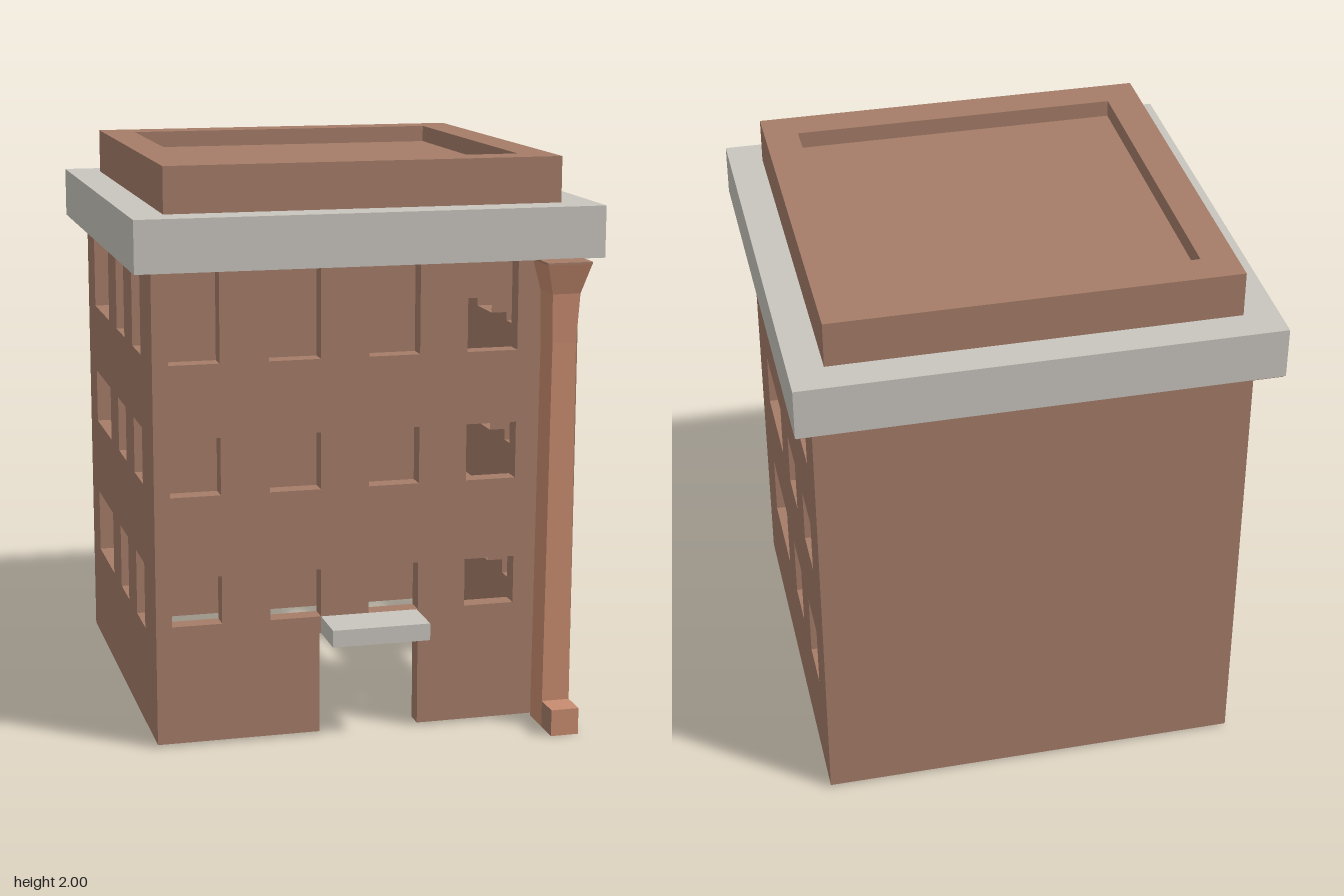
import * as THREE from 'three';
import { mergeGeometries } from 'three/addons/utils/BufferGeometryUtils.js';

const mat = (name, color, side = THREE.FrontSide) => {
  const m = new THREE.MeshStandardMaterial({ color, side });
  m.name = name;
  return m;
};

export function createModel() {
  const brick = mat('brown brick', 0xa57d69);
  const sheet = mat('brown brick wall', 0xa57d69, THREE.DoubleSide);
  const stone = mat('pale grey stone', 0xc9c5be);
  const clay = mat('light terracotta', 0xc88c70, THREE.DoubleSide);
  const model = new THREE.Group();
  model.name = 'building';

  const add = (name, geometry, material, parent = model) => {
    const mesh = new THREE.Mesh(geometry, material);
    mesh.name = name;
    parent.add(mesh);
    return mesh;
  };
  const box = (name, x0, x1, y0, y1, z0, z1, material) => {
    const mesh = add(name, new THREE.BoxGeometry(x1 - x0, y1 - y0, z1 - z0), material);
    mesh.position.set((x0 + x1) / 2, (y0 + y1) / 2, (z0 + z1) / 2);
    return mesh;
  };
  const rect = (Type, x0, x1, y0, y1) => new Type([
    [x0, y0], [x1, y0], [x1, y1], [x0, y1]].map(p => new THREE.Vector2(...p)));

  // Inward reveal around an opening
  const DEPTH = 0.065;
  const reveal = ([u0, u1, v0, v1], sill = true) => {
    const w = u1 - u0, h = v1 - v0, cu = (u0 + u1) / 2, cv = (v0 + v1) / 2, z = -DEPTH / 2;
    const parts = [
      new THREE.PlaneGeometry(DEPTH, h).rotateY(Math.PI / 2).translate(u0, cv, z),
      new THREE.PlaneGeometry(DEPTH, h).rotateY(-Math.PI / 2).translate(u1, cv, z),
      new THREE.PlaneGeometry(w, DEPTH).rotateX(Math.PI / 2).translate(cu, v1, z),
    ];
    if (sill) parts.push(new THREE.PlaneGeometry(w, DEPTH).rotateX(-Math.PI / 2).translate(cu, v0, z));
    return mergeGeometries(parts);
  };

  // Wall sheet in its own plane, facing local +z
  const BASE = 0.01, TOP = 1.665;
  const wall = (name, u0, u1, columns, rows, door) => {
    const group = new THREE.Group();
    group.name = name;
    const outline = [[u0, BASE]];
    if (door) outline.push([door[0], BASE], [door[0], door[3]], [door[1], door[3]], [door[1], BASE]);
    outline.push([u1, BASE], [u1, TOP], [u0, TOP]);
    const shape = new THREE.Shape(outline.map(p => new THREE.Vector2(...p)));
    const reveals = door ? [reveal(door, false)] : [];
    for (const [a, b] of columns) for (const [c, d] of rows) {
      shape.holes.push(rect(THREE.Path, a, b, c, d));
      reveals.push(reveal([a, b, c, d]));
    }
    add(name + 'Face', new THREE.ShapeGeometry(shape), sheet, group);
    if (reveals.length) add(name + 'Reveals', mergeGeometries(reveals), sheet, group);
    model.add(group);
    return group;
  };

  const upperRows = [[0.885, 1.085], [1.34, 1.66]];
  const sideRows = [[0.365, 0.6], ...upperRows];
  wall('frontWall', -0.755, 0.745,
    [[-0.7, -0.525], [-0.355, -0.175], [-0.005, 0.175], [0.345, 0.525]],
    [[0.43, 0.6], ...upperRows], [-0.18, 0.175, BASE, 0.37]).position.z = 0.68;

  // Side walls are the same, turned half a circle
  const right = wall('rightWall', -0.68, 0.77, [[-0.455, -0.105], [0.07, 0.245], [0.42, 0.6]], sideRows);
  right.rotation.y = Math.PI / 2;
  right.position.x = 0.745;
  const left = wall('leftWall', -0.77, 0.68, [[-0.6, -0.25], [-0.07, 0.105], [0.28, 0.455]], sideRows);
  left.rotation.y = -Math.PI / 2;
  left.position.x = -0.755;
  const back = wall('backWall', -0.745, 0.755, [], []);
  back.rotation.y = Math.PI;
  back.position.z = -0.77;

  // Square rings at the top, with a shared central opening
  const ring = (name, x0, x1, z0, z1, y0, y1, material) => {
    const shape = rect(THREE.Shape, x0, x1, -z1, -z0);
    shape.holes.push(rect(THREE.Path, -0.58, 0.575, -0.5, 0.655));
    const geometry = new THREE.ExtrudeGeometry(shape, { depth: y1 - y0, bevelEnabled: false });
    add(name, geometry.rotateX(-Math.PI / 2).translate(0, y0, 0), material);
  };
  ring('cornice', -0.82, 0.815, -0.895, 0.745, 1.66, 1.84, stone);
  ring('parapet', -0.7, 0.695, -0.775, 0.625, 1.84, 2, brick);
  box('roofDeck', -0.58, 0.575, 1.92, 1.94, -0.655, 0.5, brick);
  box('rearSoffit', -0.815, 0.81, 1.655, 1.66, -0.89, -0.77, brick);

  // Canopy over the doorway
  box('doorCanopy', -0.175, 0.17, 0.37, 0.43, 0.68, 0.85, stone);

  // Flared downpipe lofted through rectangles: height, left, right, front
  const sections = [
    [0, 0.6, 0.7, 0.8], [0.1, 0.6, 0.7, 0.8], [1.38, 0.61, 0.695, 0.8],
    [1.55, 0.605, 0.705, 0.806], [1.66, 0.575, 0.735, 0.84],
  ];
  const corners = ([y, a, b, f]) => [[a, y, 0.68], [a, y, f], [b, y, f], [b, y, 0.68]];
  const points = [];
  const quad = (a, b, c, d) => points.push(...a, ...b, ...c, ...a, ...c, ...d);
  for (let i = 0; i < sections.length - 1; i++) {
    const low = corners(sections[i]), high = corners(sections[i + 1]);
    for (let k = 0; k < 4; k++) {
      const n = (k + 1) % 4;
      quad(low[k], low[n], high[n], high[k]);
    }
  }
  quad(...corners(sections[0]).reverse());
  const pipe = new THREE.BufferGeometry();
  pipe.setAttribute('position', new THREE.Float32BufferAttribute(points, 3));
  pipe.computeVertexNormals();
  add('downpipe', pipe, clay);
  box('downpipeTop', 0.575, 0.735, 1.655, 1.662, 0.68, 0.84, brick);

  // Spout at the foot, with darker cheeks
  box('spout', 0.6, 0.7, 0, 0.095, 0.8, 0.9, [brick, brick, clay, clay, clay, clay]);

  return model;
}
